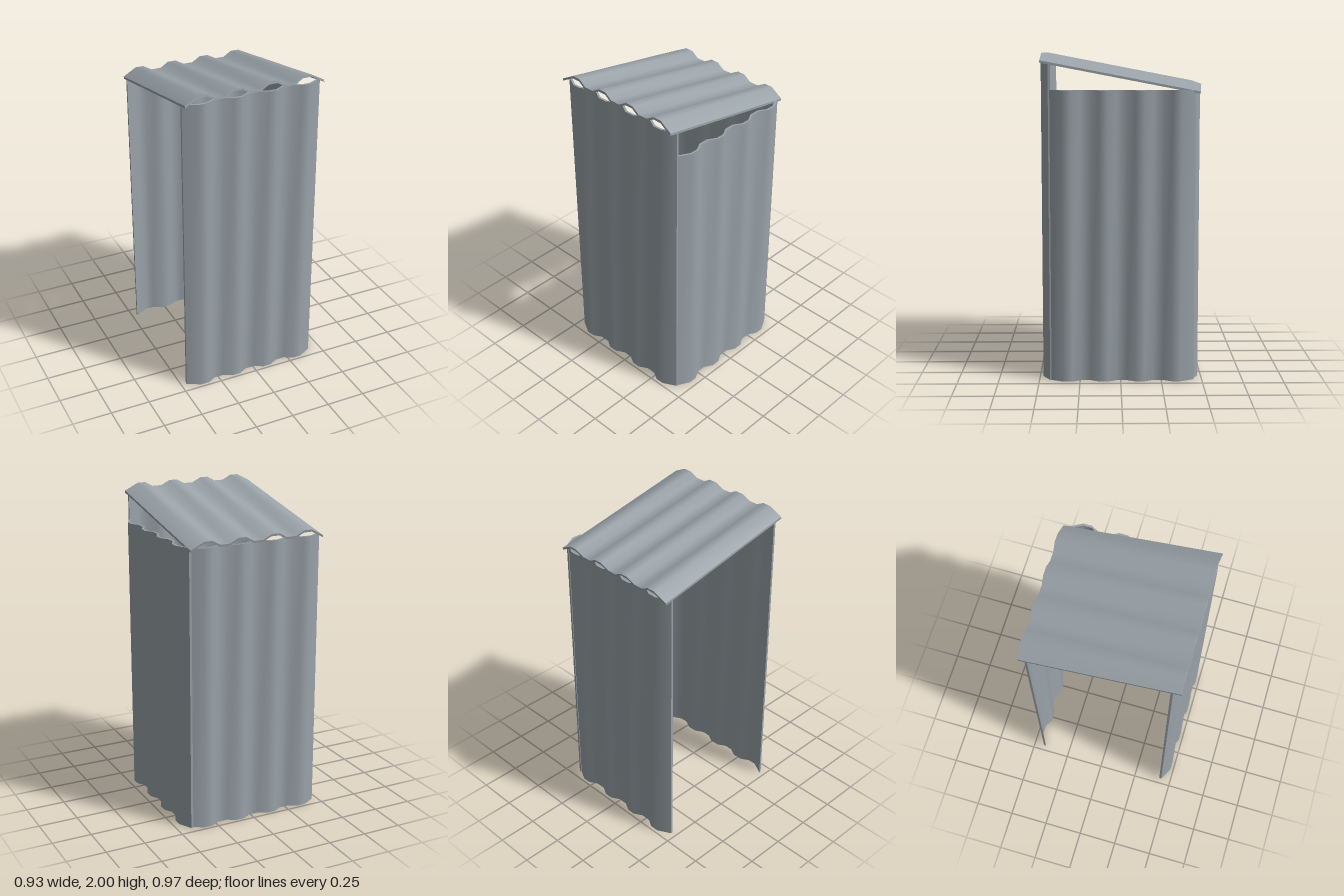
import * as THREE from 'three';

const WIDTH = 0.885, WAVES = 4, PITCH = WIDTH / WAVES, THICK = 0.014;

// Corrugation profile [across, depth]; flat crests at depth 0, outer edges turned down further
function corrugation() {
  const points = [[-WIDTH / 2, -0.045]];
  for (let i = 0; i < WAVES; i++) {
    const c = -WIDTH / 2 + (i + 0.5) * PITCH;
    if (i > 0) points.push([c - 0.08, -0.03]);
    points.push([c - 0.027, 0], [c + 0.027, 0]);
    if (i < WAVES - 1) points.push([c + 0.08, -0.03]);
  }
  points.push([WIDTH / 2, -0.045]);
  return points;
}

// Sheet running along y, with its outer side facing +z
function corrugatedSheet(name, length, material) {
  const profile = corrugation();
  const n = profile.length - 1;
  const geometry = new THREE.BoxGeometry(n, length, 1, n, 1, 1);
  const pos = geometry.attributes.position;
  for (let i = 0; i < pos.count; i++) {
    const [across, depth] = profile[Math.round(pos.getX(i) + n / 2)];
    pos.setX(i, across);
    pos.setZ(i, depth - (pos.getZ(i) > 0 ? 0 : THICK));
  }
  geometry.computeVertexNormals();
  const mesh = new THREE.Mesh(geometry, material);
  mesh.name = name;
  return mesh;
}

export function createModel() {
  const group = new THREE.Group();
  group.name = 'corrugatedShelter';
  const steel = new THREE.MeshStandardMaterial({ color: 0x9aa3a9 });
  steel.name = 'galvanised steel';

  // Three walls; the model's right side (-x) stays open
  const walls = [
    ['frontWall', 1.945, -0.0225, 0.48, 0],
    ['sideWall', 1.78, 0.46, -0.0075, Math.PI / 2],
    ['backWall', 1.775, -0.0225, -0.48, Math.PI],
  ];
  for (const [name, height, x, z, turn] of walls) {
    const wall = corrugatedSheet(name, height, steel);
    wall.position.set(x, height / 2, z);
    wall.rotation.y = turn;
    group.add(wall);
  }

  // Roof sheet, sloping down to the back
  const roof = corrugatedSheet('roof', 0.98, steel);
  roof.position.set(-0.0225, 1.9075, -0.006);
  roof.rotation.x = -Math.PI / 2 - 0.19;
  group.add(roof);

  return group;
}
